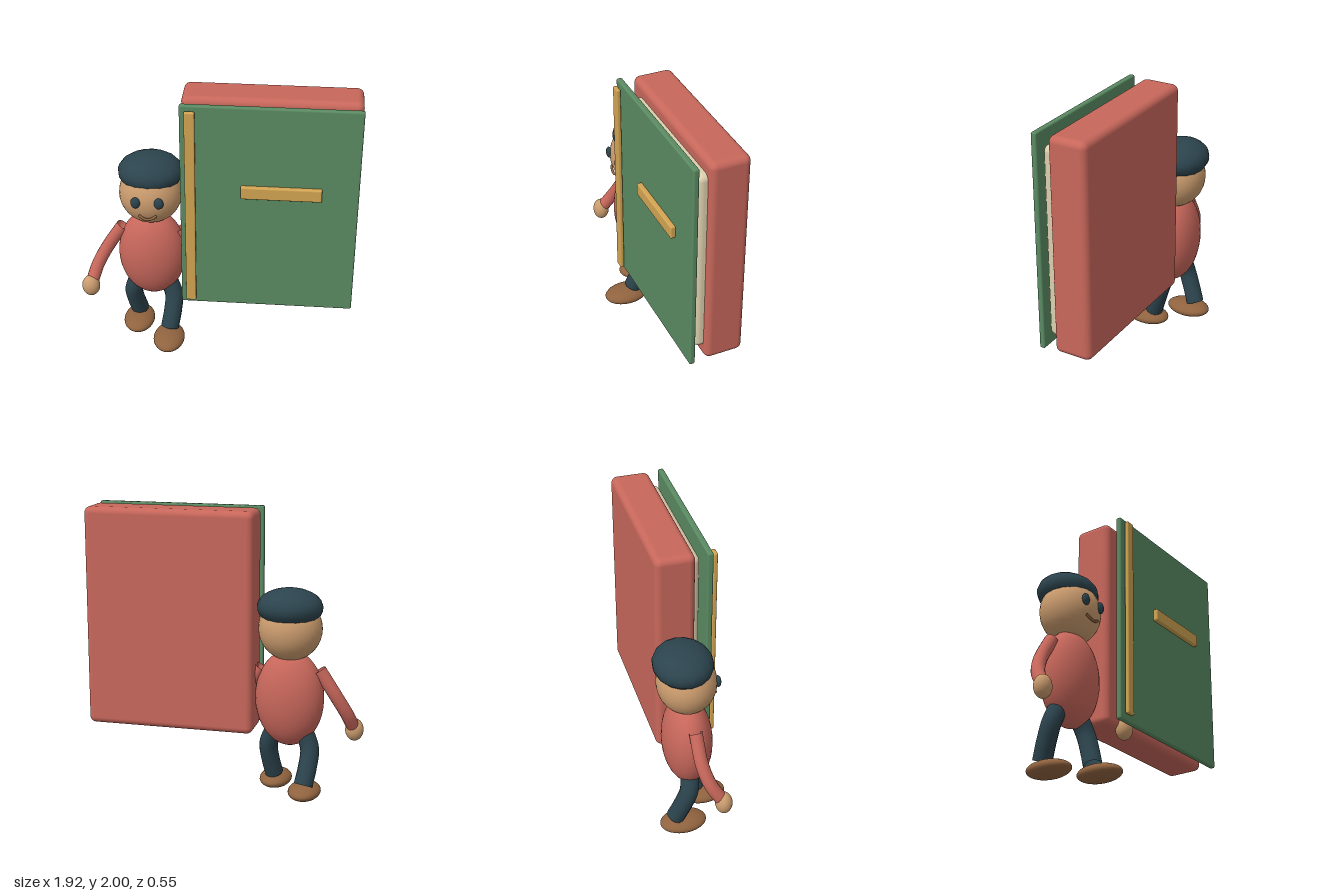
import * as THREE from 'three';
import { RoundedBoxGeometry } from 'three/addons/geometries/RoundedBoxGeometry.js';

const material = (name, color, extra = {}) => {
  const m = new THREE.MeshStandardMaterial({ color, ...extra });
  m.name = name;
  return m;
};

export function createModel() {
  const open = { side: THREE.DoubleSide }; // limbs are open tubes
  const red = material('brick red', 0xc8675b, open);
  const green = material('cover green', 0x5a8a62);
  const gold = material('gold', 0xd2a452);
  const cream = material('page cream', 0xdccfae);
  const skin = material('skin', 0xcb9c6e);
  const navy = material('dark slate', 0x2c444e, open);
  const brown = material('shoe brown', 0x90633f, open);

  const model = new THREE.Group();
  model.name = 'figureWithBook';
  const book = new THREE.Group();
  book.name = 'book';
  const figure = new THREE.Group();
  figure.name = 'figure';
  figure.position.set(-0.465, 0, 0);
  model.add(book, figure);

  const add = (parent, name, geometry, mat) => {
    const mesh = new THREE.Mesh(geometry, mat);
    mesh.name = name;
    parent.add(mesh);
    return mesh;
  };

  // Rounded block given by its lower and upper corners
  const block = (name, lo, hi, radius, mat) => {
    const [w, h, d] = hi.map((v, i) => v - lo[i]);
    const mesh = add(book, name, new RoundedBoxGeometry(w, h, d, 4, radius), mat);
    mesh.position.set(...hi.map((v, i) => (v + lo[i]) / 2));
  };
  const ellipsoid = (name, center, radii, mat, ws = 32, hs = 20) => {
    const mesh = add(figure, name, new THREE.SphereGeometry(1, ws, hs), mat);
    mesh.position.set(...center);
    mesh.scale.set(...radii);
    return mesh;
  };
  const tube = (name, points, radius, mat) => {
    const path = new THREE.CatmullRomCurve3(points.map((p) => new THREE.Vector3(...p)));
    return add(figure, name, new THREE.TubeGeometry(path, 20, radius, 14), mat);
  };

  // Book: thick back, page block, front cover and gold trim
  block('bookBack', [-0.23, 0.46, -0.195], [0.96, 2, 0.08], 0.045, red);
  block('pages', [-0.11, 0.55, -0.02], [0.92, 1.91, 0.145], 0.045, cream);
  block('frontCover', [-0.23, 0.46, 0.155], [0.96, 2, 0.195], 0.012, green);
  block('spineStrip', [-0.195, 0.5, 0.205], [-0.125, 1.97, 0.235], 0.01, gold);
  block('titlePlate', [0.175, 1.34, 0.19], [0.715, 1.43, 0.228], 0.01, gold);

  // Body and head
  ellipsoid('torso', [0, 0.71, -0.05], [0.24, 0.34, 0.17], red);
  ellipsoid('head', [0, 1.2, -0.055], [0.22, 0.22, 0.202], skin);
  const hair = add(figure, 'hair',
    new THREE.SphereGeometry(1, 16, 9, 0, Math.PI * 2, 0, Math.PI * 0.7), navy);
  hair.position.set(0, 1.355, -0.08);
  hair.scale.set(0.228, 0.13, 0.202);
  tube('mouth', [[-0.062, 1.117, 0.128], [-0.03, 1.098, 0.137], [0, 1.091, 0.139],
    [0.03, 1.098, 0.137], [0.062, 1.117, 0.128]], 0.009, brown);

  // Paired parts, mirrored about the figure's middle
  for (const [side, s] of [['left', 1], ['right', -1]]) {
    ellipsoid(side + 'Eye', [s * 0.08, 1.22, 0.137], [0.033, 0.042, 0.02], navy);
    tube(side + 'Arm', [[s * 0.205, 0.92, -0.05], [s * 0.32, 0.74, -0.04],
      [s * 0.39, 0.61, 0], [s * 0.43, 0.495, 0.07]], 0.046, red);
    ellipsoid(side + 'Hand', [s * 0.436, 0.473, 0.08], [0.064, 0.08, 0.058], skin);

    // Striding legs: left foot forward, right foot back
    tube(side + 'Leg', [[s * 0.1, 0.49, -0.055], [s * 0.15, 0.36, -0.05 + s * 0.025],
      [s * 0.145, 0.24, -0.052 + s * 0.065], [s * 0.125, 0.12, -0.055 + s * 0.108]], 0.065, navy);
    ellipsoid(side + 'Shoe', [s * 0.124, 0.06, s * 0.108], [0.113, 0.056, 0.165], brown);
  }
  return model;
}
